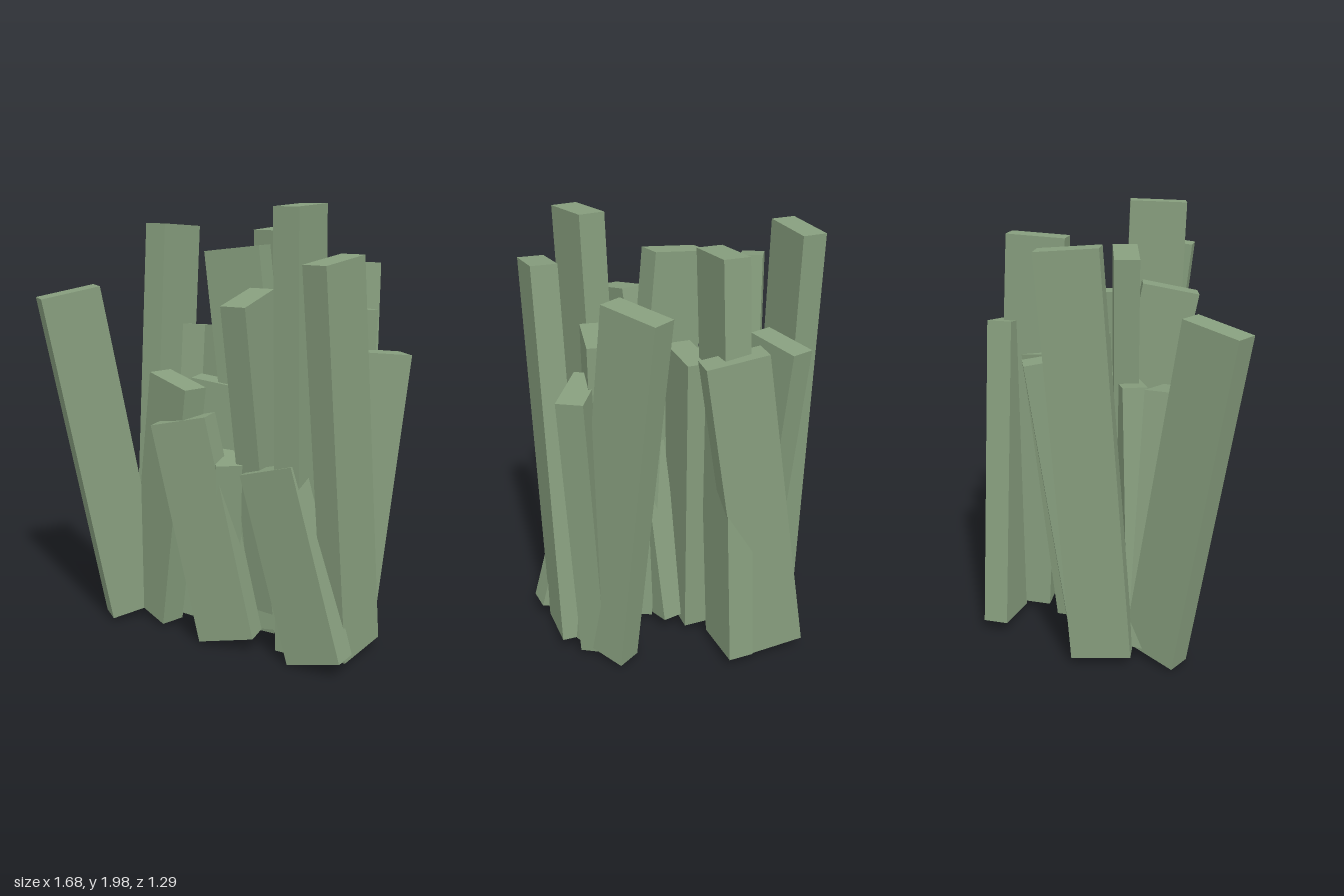
import * as THREE from 'three';

// One entry per blade: top centre x, y, z, foot centre x, z,
// and the heading of its wide side in degrees.
const BLADES = [
  [-0.695, 1.605, 0.117, -0.44, -0.01, -27],
  [-0.28, 1.885, -0.347, -0.35, -0.235, -59],
  [-0.133, 1.4, -0.36, -0.18, -0.18, -74],
  [0.335, 1.48, -0.395, 0.18, -0.52, 40],
  [0.24, 1.875, -0.28, 0.3, -0.37, -56],
  [0.15, 1.35, -0.257, 0.015, -0.157, -36],
  [0.21, 1.4, -0.095, 0.18, -0.05, -55],
  [0.06, 1.8, 0.072, 0.25, 0.155, 23],
  [0.124, 1.61, 0.335, 0.25, 0.05, -66],
  [0.34, 1.99, 0.375, 0.37, 0.31, -65],
  [0.476, 1.78, 0.497, 0.6, 0.345, -54],
  [0.235, 0.88, 0.37, 0.455, 0.49, 30],
  [-0.17, 1.055, 0.215, 0.05, 0.285, 18],
  [0.02, 0.89, 0.2, 0, 0.1, 78],
  [0, 1.2, 0.07, -0.14, 0.03, 17],
  [-0.2, 1.22, 0.153, -0.335, 0.01, 46],
  [0.69, 1.355, 0.125, 0.56, 0.18, -23],
  [0.55, 1.54, 0.13, 0.5, 0.18, -45],
  [0.646, 1.715, -0.148, 0.63, 0.09, -87],
  [0.48, 1, 0.11, 0.39, 0.16, -24],
  [0.28, 1.2, 0.16, 0.35, 0.2, 53],
];

const WIDTH = 0.27, THICKNESS = 0.115, FOOT_HEIGHT = 0.05;

export function createModel() {
  const clump = new THREE.Group();
  clump.name = 'grassClump';
  const green = new THREE.MeshStandardMaterial({ color: 0x869d7d });
  green.name = 'sage green';

  // A straight leaning slab from foot to top, turned to its own heading
  BLADES.forEach(([topX, topY, topZ, footX, footZ, heading], i) => {
    const foot = new THREE.Vector3(footX, FOOT_HEIGHT, footZ);
    const top = new THREE.Vector3(topX, topY, topZ);
    const up = top.clone().sub(foot).normalize();
    const angle = THREE.MathUtils.degToRad(heading);
    const side = new THREE.Vector3(Math.cos(angle), 0, Math.sin(angle));
    side.addScaledVector(up, -side.dot(up)).normalize();
    const front = new THREE.Vector3().crossVectors(side, up);

    const shape = new THREE.BoxGeometry(WIDTH, top.distanceTo(foot), THICKNESS);
    const blade = new THREE.Mesh(shape, green);
    blade.name = `blade${i + 1}`;
    blade.quaternion.setFromRotationMatrix(new THREE.Matrix4().makeBasis(side, up, front));
    blade.position.addVectors(foot, top).multiplyScalar(0.5);
    clump.add(blade);
  });

  // Stand the clump on the ground
  const box = new THREE.Box3().setFromObject(clump, true);
  clump.children.forEach((blade) => { blade.position.y -= box.min.y; });
  return clump;
}
